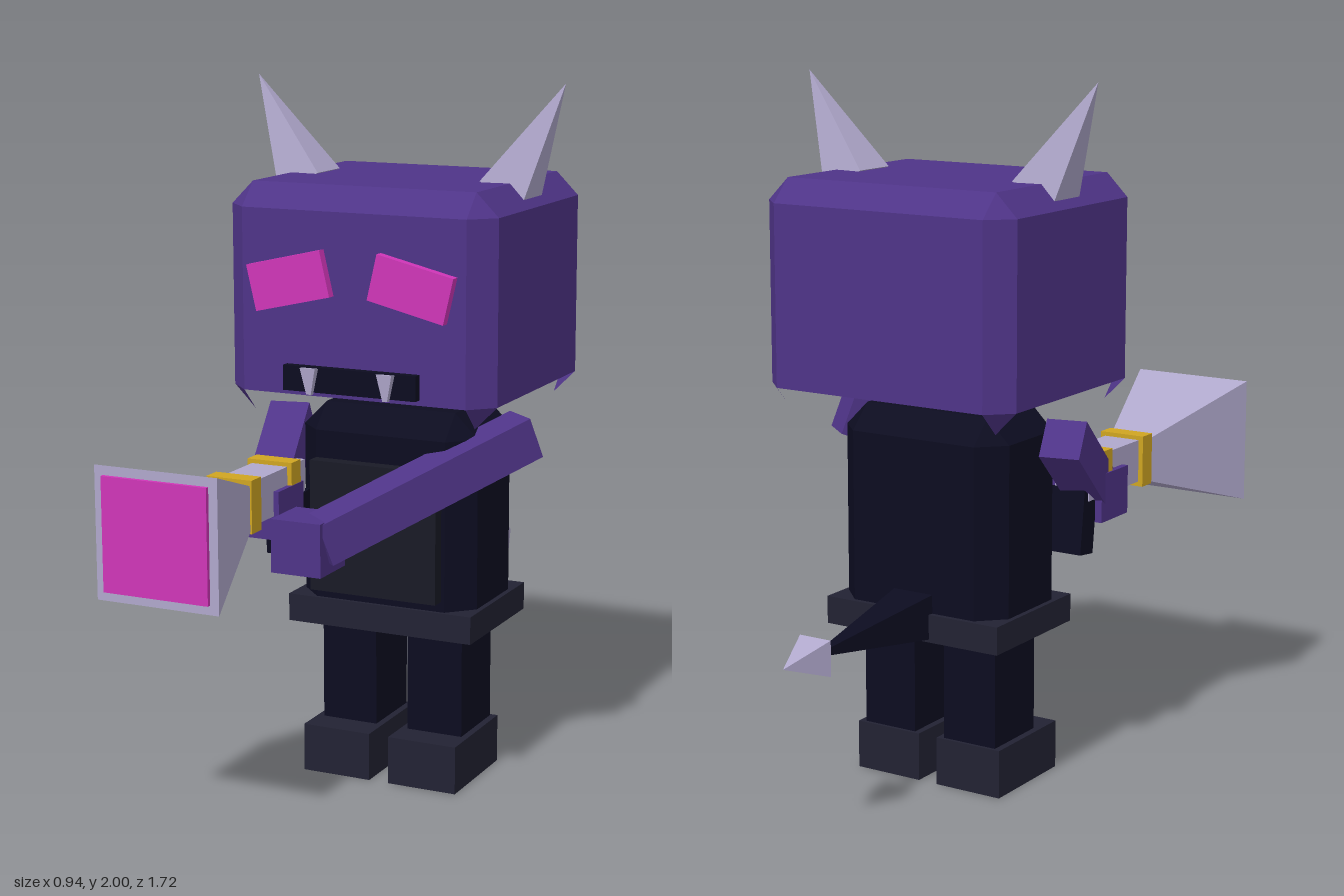
import * as THREE from 'three';

const mat = (name, color, side = THREE.FrontSide) => {
  const m = new THREE.MeshStandardMaterial({ color, side, flatShading: true });
  m.name = name;
  return m;
};

// Box with chamfered sides and top, open underneath, with four hanging corner points
function openChamferBox(w, h, d, c) {
  const W = w / 2, D = d / 2, H = h / 2, pos = [];
  const tri = (...pts) => pts.forEach(p => pos.push(p[0], p[1], p[2]));
  const corners = [[1, 1], [1, -1], [-1, -1], [-1, 1]];
  const ring = y => corners.flatMap(([sx, sz], k) => {
    const a = [sx * (W - c), y, sz * D], b = [sx * W, y, sz * (D - c)];
    return k % 2 ? [b, a] : [a, b];
  });
  const inset = y => corners.map(([sx, sz]) => [sx * (W - c), y, sz * (D - c)]);
  const low = ring(-H + c), high = ring(H - c), top = inset(H), foot = inset(-H);
  for (let i = 0; i < 8; i++) {
    const j = (i + 1) % 8, k = i >> 1, n = j >> 1;
    tri(low[i], low[j], high[j]);
    tri(low[i], high[j], high[i]);
    tri(high[i], high[j], top[n]);
    if (k !== n) tri(high[i], top[n], top[k]);
    else tri(low[j], low[i], foot[k]);
  }
  tri(top[0], top[1], top[2]);
  tri(top[0], top[2], top[3]);
  const g = new THREE.BufferGeometry();
  g.setAttribute('position', new THREE.Float32BufferAttribute(pos, 3));
  g.computeVertexNormals();
  return g;
}

export function createModel() {
  const model = new THREE.Group();
  model.name = 'hornedFigure';
  const purple = mat('purple', 0x4f3488, THREE.DoubleSide);
  const black = mat('nearBlack', 0x0c0c20, THREE.DoubleSide);
  const slate = mat('slate', 0x222233);
  const plate = mat('darkPlate', 0x191a26);
  const lavender = mat('lavenderGrey', 0xb0a8cc);
  const pink = mat('pink', 0xd036b8);
  const gold = mat('gold', 0xcfa522);

  const add = (name, geo, material, x = 0, y = 0, z = 0) => {
    const m = new THREE.Mesh(geo, material);
    m.name = name;
    m.position.set(x, y, z);
    model.add(m);
    return m;
  };
  // Box given by its limits on each axis
  const box = (name, material, x0, x1, y0, y1, z0, z1) =>
    add(name, new THREE.BoxGeometry(x1 - x0, y1 - y0, z1 - z0), material,
      (x0 + x1) / 2, (y0 + y1) / 2, (z0 + z1) / 2);
  // Square bar or pyramid between two points, r0 and r1 are half widths
  const taper = (name, material, from, to, r0, r1) => {
    const a = new THREE.Vector3(...from), b = new THREE.Vector3(...to);
    const dir = b.clone().sub(a), len = dir.length();
    const g = new THREE.CylinderGeometry(r1 * Math.SQRT2, r0 * Math.SQRT2, len, 4);
    g.rotateY(Math.PI / 4);
    g.rotateX(Math.PI / 2);
    const m = add(name, g, material);
    m.position.copy(a).add(b).multiplyScalar(0.5);
    if (Math.abs(dir.x) + Math.abs(dir.z) < 1e-6) m.rotation.x = -Math.PI / 2;
    else m.lookAt(b);
    return m;
  };

  // Head and torso
  add('head', openChamferBox(0.8, 0.64, 0.71, 0.065), purple, 0, 1.41, -0.075);
  add('torso', openChamferBox(0.54, 0.63, 0.37, 0.07), black, 0, 0.775, -0.075);
  box('bellyPlate', plate, -0.2, 0.19, 0.56, 0.94, 0.1, 0.15);

  // Belt as a rectangular ring
  const rect = (P, w, d) => {
    const s = new P();
    s.moveTo(-w, -d); s.lineTo(w, -d); s.lineTo(w, d); s.lineTo(-w, d); s.closePath();
    return s;
  };
  const beltShape = rect(THREE.Shape, 0.285, 0.198);
  beltShape.holes.push(rect(THREE.Path, 0.225, 0.138));
  const beltGeo = new THREE.ExtrudeGeometry(beltShape, { depth: 0.08, bevelEnabled: false });
  beltGeo.rotateX(-Math.PI / 2);
  add('belt', beltGeo, slate, 0, 0.45, -0.077);

  // Mirrored parts: legs, feet, eyes, fangs, horns
  for (const [s, side] of [[1, 'left'], [-1, 'right']]) {
    add(side + 'Leg', new THREE.BoxGeometry(0.17, 0.3, 0.21), black, s * 0.135, 0.28, -0.075);
    add(side + 'Foot', new THREE.BoxGeometry(0.21, 0.14, 0.31), slate, s * 0.135, 0.07, -0.035);
    const eye = add(side + 'Eye', new THREE.BoxGeometry(0.23, 0.13, 0.04), pink, s * 0.183, 1.473, 0.287);
    eye.rotation.z = -s * 0.23;
    taper(side + 'Fang', lavender, [s * 0.115, 1.237, 0.303], [s * 0.115, 1.165, 0.312], 0.023, 0.007);
    const horn = new THREE.ConeGeometry(0.07 * Math.SQRT2, 0.34, 4);
    horn.rotateY(Math.PI / 4);
    const h = add(side + 'Horn', horn, lavender, s * 0.39, 1.85, -0.077);
    h.rotation.z = -s * 0.49;
  }
  box('mouth', black, -0.2, 0.2, 1.17, 1.24, 0.26, 0.305);

  // Arms and hands
  taper('leftArm', purple, [0.37, 1.025, -0.07], [-0.04, 0.785, 0.42], 0.06, 0.06);
  box('leftHand', purple, -0.15, 0, 0.7, 0.85, 0.33, 0.48);
  taper('rightArm', purple, [-0.35, 1.02, -0.04], [-0.29, 0.81, 0.24], 0.058, 0.058);
  box('rightHand', purple, -0.362, -0.215, 0.74, 0.88, 0.16, 0.31);

  // Flared horn blaster held in both hands
  const bx = -0.287, by = 0.865;
  box('blasterBarrel', lavender, bx - 0.056, bx + 0.056, by - 0.056, by + 0.068, 0.12, 0.42);
  for (const z of [0.2, 0.435])
    add('blasterBand', new THREE.BoxGeometry(0.14, 0.15, 0.055), gold, bx, by + 0.005, z);
  taper('blasterFlare', lavender, [bx, by, 0.46], [bx, by, 0.85], 0.064, 0.183);
  box('blasterMuzzle', pink, bx - 0.157, bx + 0.157, by - 0.157, by + 0.157, 0.845, 0.862);
  const grip = box('blasterGrip', black, -0.34, -0.225, 0.655, 0.84, 0.09, 0.16);
  grip.rotation.x = 0.12;

  // Tail with pointed tip
  taper('tail', black, [0, 0.52, -0.25], [0, 0.52, -0.75], 0.065, 0);
  taper('tailTip', lavender, [0, 0.52, -0.72], [0, 0.52, -0.862], 0.05, 0);

  return model;
}
